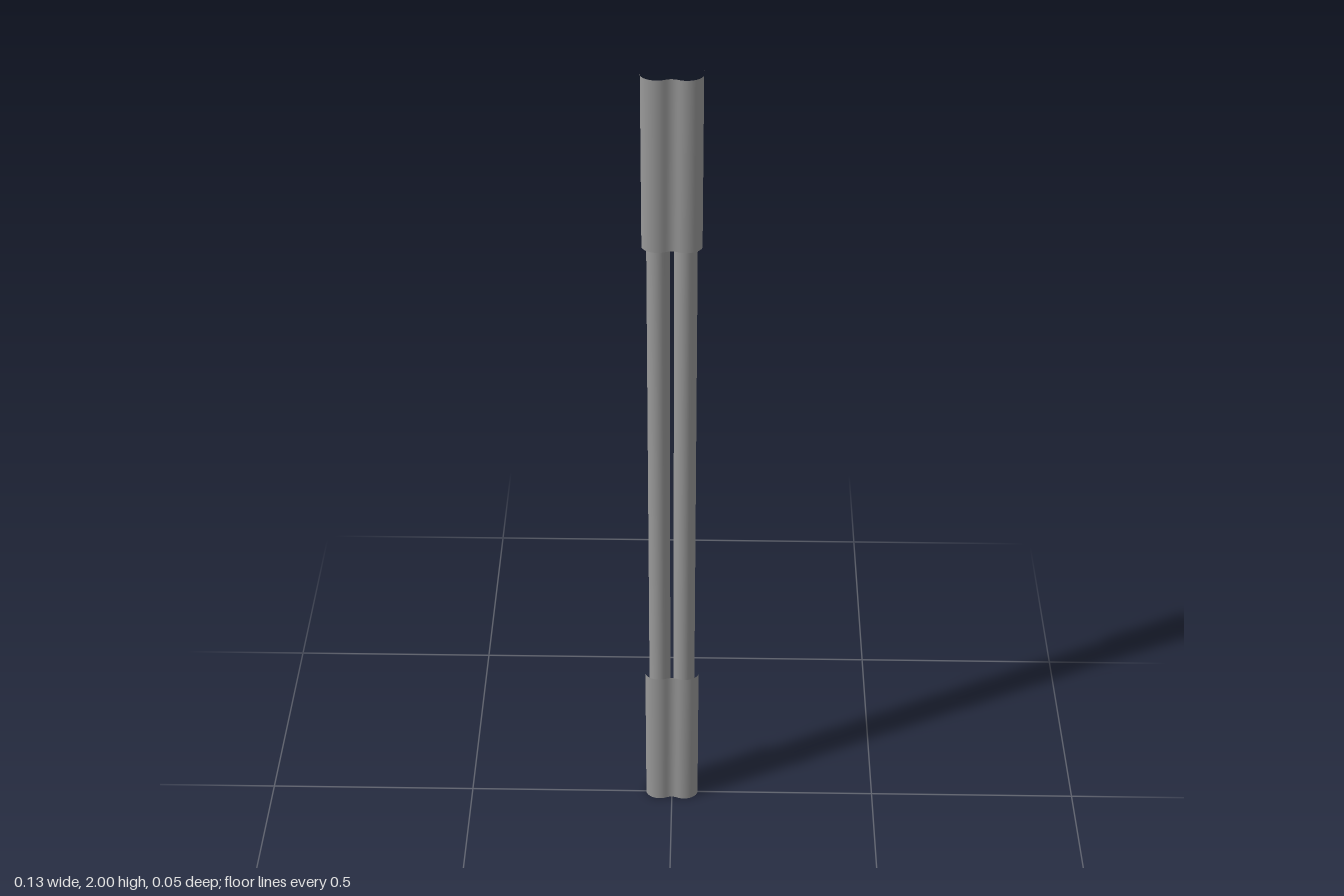
import * as THREE from 'three';

const material = new THREE.MeshStandardMaterial({ color: 0x999999, side: THREE.DoubleSide });

// Sleeve cross-section (x, z), from the right leg over two front lobes to the left leg
function sleeveProfile() {
  const path = new THREE.Path();
  path.moveTo(-0.064, -0.021);
  path.lineTo(-0.064, 0);
  path.bezierCurveTo(-0.064, 0.014, -0.047, 0.0255, -0.03, 0.0255);
  path.bezierCurveTo(-0.016, 0.0255, -0.012, 0.019, 0, 0.019);
  path.bezierCurveTo(0.012, 0.019, 0.016, 0.0255, 0.03, 0.0255);
  path.bezierCurveTo(0.047, 0.0255, 0.064, 0.014, 0.064, 0);
  path.lineTo(0.064, -0.021);
  return path.getSpacedPoints(48);
}

// Thin sheet bent along the profile
function sleeveGeometry(height) {
  const profile = sleeveProfile();
  const geometry = new THREE.PlaneGeometry(1, height, profile.length - 1, 1);
  const pos = geometry.attributes.position;
  for (let i = 0; i < pos.count; i++) {
    const p = profile[i % profile.length];
    pos.setX(i, p.x);
    pos.setZ(i, p.y);
  }
  geometry.computeVertexNormals();
  return geometry;
}

export function createModel() {
  const model = new THREE.Group();
  model.name = 'doubleTubeWithSleeves';

  const add = (name, geometry, x, y, z) => {
    const mesh = new THREE.Mesh(geometry, material);
    mesh.name = name;
    mesh.position.set(x, y, z);
    model.add(mesh);
  };

  // Two open tubes side by side
  const tube = new THREE.CylinderGeometry(0.025, 0.025, 1.333, 32, 1, true);
  add('leftTube', tube, 0.029, 1, -0.0005);
  add('rightTube', tube, -0.029, 1, -0.0005);

  // Half-open sleeves over the tube ends
  const sleeve = sleeveGeometry(0.4);
  add('lowerSleeve', sleeve, 0, 0.2, 0);
  add('upperSleeve', sleeve, 0, 1.8, 0);

  return model;
}
